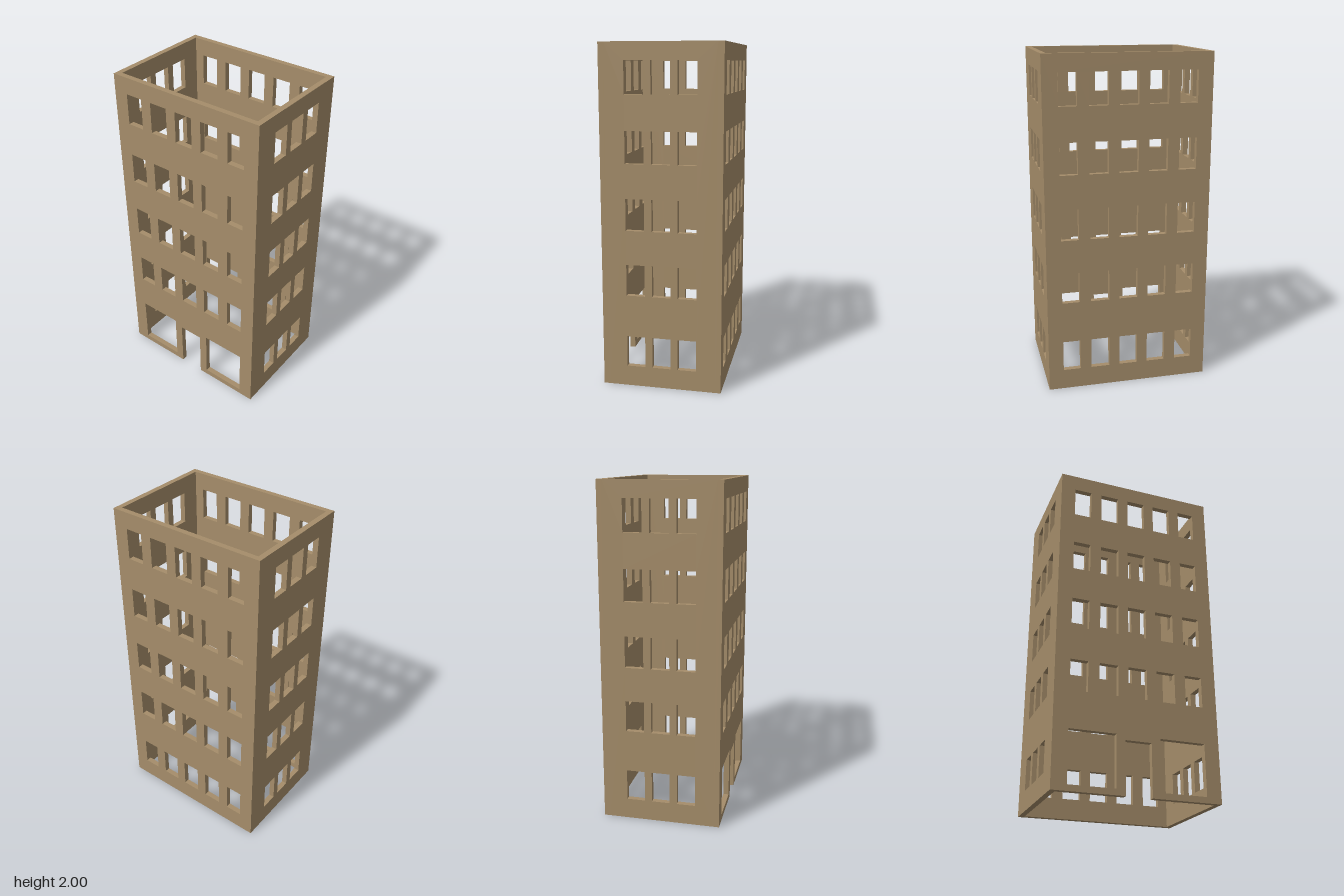
import * as THREE from 'three';

const HALF_W = 0.49, HALF_D = 0.352, WALL = 0.033, HEIGHT = 2;
const UPPER_SILLS = [0.557, 0.944, 1.329, 1.715];
const GROUND_SILL = 0.122, WINDOW_H = 0.185;

// Rectangular hole
function opening(x0, x1, y0, y1) {
  return new THREE.Path().moveTo(x0, y0).lineTo(x0, y1).lineTo(x1, y1).lineTo(x1, y0).closePath();
}

// Wall with its outer face at local z = 0 and its thickness running inwards
function wall(name, half, columns, sills, material, { door, holes = [] } = {}) {
  const shape = new THREE.Shape().moveTo(-half, 0);
  if (door) {
    shape.lineTo(-door.half, 0).lineTo(-door.half, door.height);
    shape.lineTo(door.half, door.height).lineTo(door.half, 0);
  }
  shape.lineTo(half, 0).lineTo(half, HEIGHT).lineTo(-half, HEIGHT).closePath();
  for (const y of sills) {
    for (const [x, w] of columns) shape.holes.push(opening(x - w / 2, x + w / 2, y, y + WINDOW_H));
  }
  shape.holes.push(...holes);
  const geometry = new THREE.ExtrudeGeometry(shape, { depth: WALL, bevelEnabled: false });
  geometry.translate(0, 0, -WALL);
  const mesh = new THREE.Mesh(geometry, material);
  mesh.name = name;
  return mesh;
}

export function createModel() {
  const building = new THREE.Group();
  building.name = 'buildingShell';
  const stone = new THREE.MeshStandardMaterial({ color: 0xa58d6a });
  stone.name = 'tan stone';

  // Window columns as [centre, width]
  const wide = [[-0.349, 0.105], [-0.174, 0.112], [0, 0.112], [0.174, 0.112], [0.349, 0.105]];
  const narrow = [-0.152, 0, 0.152].map((x) => [x, 0.109]);
  const allSills = [GROUND_SILL, ...UPPER_SILLS];

  // Front: doorway and two shop windows on the ground floor
  const front = wall('frontWall', HALF_W, wide, UPPER_SILLS, stone, {
    door: { half: 0.077, height: 0.307 },
    holes: [-1, 1].map((s) => opening(s * 0.265 - 0.136, s * 0.265 + 0.136, 0.035, 0.337)),
  });
  front.position.z = HALF_D;

  const back = wall('backWall', HALF_W, wide, allSills, stone);
  back.rotation.y = Math.PI;
  back.position.z = -HALF_D;
  building.add(front, back);

  // Side walls fit between the front and back walls
  for (const [name, s] of [['leftWall', 1], ['rightWall', -1]]) {
    const side = wall(name, HALF_D - WALL, narrow, allSills, stone);
    side.rotation.y = s * Math.PI / 2;
    side.position.x = s * HALF_W;
    building.add(side);
  }
  return building;
}
